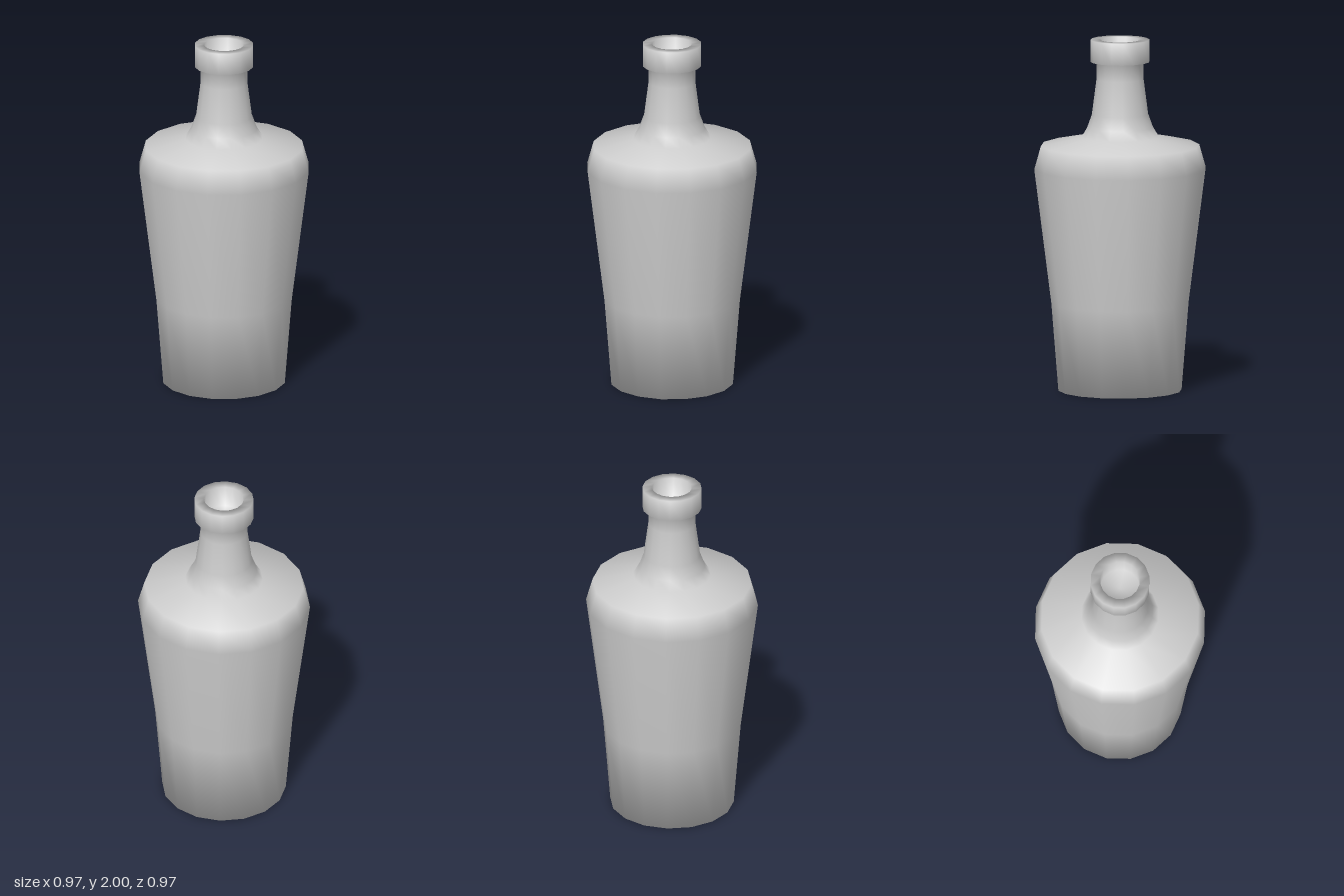
import * as THREE from 'three';

export function createModel() {
  const group = new THREE.Group();
  const material = new THREE.MeshStandardMaterial({ color: 0xcccccc });

  // Profile from the base centre, up the outside, over the lip and into the mouth
  const base = [[0, 0], [0.35, 0]];
  const body = [[0.39, 0.5], [0.487, 1.265], [0.45, 1.397]];
  const neck = [[0.22, 1.445], [0.187, 1.5], [0.16, 1.575], [0.134, 1.775], [0.134, 1.875]];
  const collar = [[0.168, 1.875], [0.168, 2], [0.113, 2]];
  const mouth = [[0.113, 1.87], [0, 1.87]];

  const profile = [...base, ...body, ...neck, ...collar, ...mouth]
    .map(([r, y]) => new THREE.Vector2(r, y));

  // Sixteen smooth-shaded sides, corners on the x and z axes
  const bottle = new THREE.Mesh(new THREE.LatheGeometry(profile, 16), material);
  bottle.name = 'bottle';
  group.add(bottle);
  return group;
}
